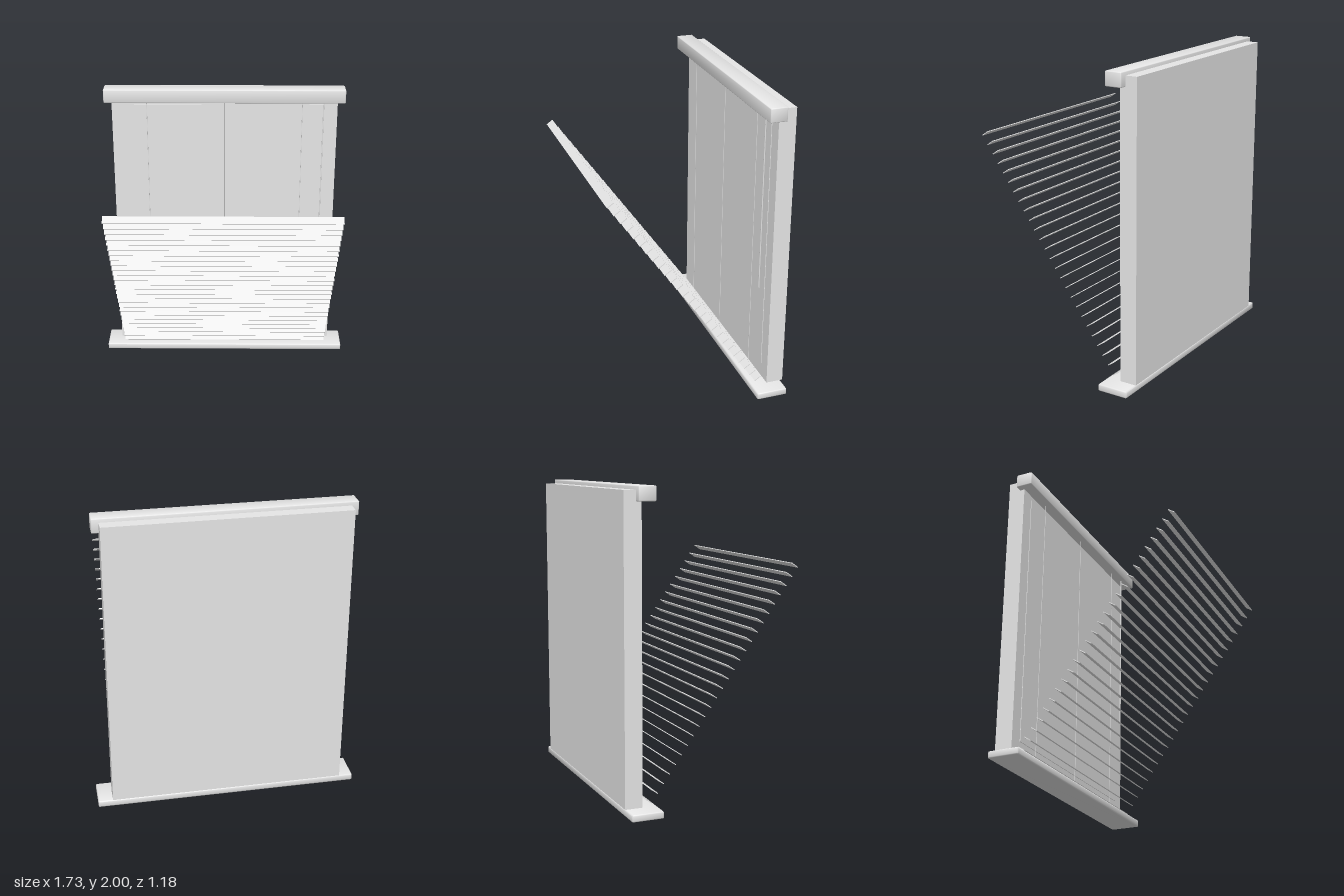
import * as THREE from 'three';
import { toCreasedNormals } from 'three/addons/utils/BufferGeometryUtils.js';
import { RoundedBoxGeometry } from 'three/addons/geometries/RoundedBoxGeometry.js';

const paint = new THREE.MeshStandardMaterial({ color: 0xe6e6e6 });
paint.name = 'off white';

// Box with a small two-step bevel, shaded smoothly across its edges
const softBox = (w, h, d, r) =>
  toCreasedNormals(new RoundedBoxGeometry(w, h, d, 1, r), Math.PI / 3);

export function createModel() {
  const group = new THREE.Group();
  const add = (name, geo, x, y, z, parent = group) => {
    const mesh = new THREE.Mesh(geo, paint);
    mesh.name = name;
    mesh.position.set(x, y, z);
    parent.add(mesh);
    return mesh;
  };

  // Window block with its pane standing slightly proud
  add('windowFrame', new THREE.BoxGeometry(1.536, 1.921, 0.114), 0, 1.0145, -0.533);
  add('windowPane', new THREE.BoxGeometry(1.35, 1.724, 0.01), 0, 1.0145, -0.477);

  // Rail above and sill below
  add('headRail', softBox(1.628, 0.092, 0.112, 0.006), 0, 1.954, -0.456);
  add('sill', softBox(1.726, 0.046, 0.207, 0.008), 0, 0.023, -0.4765);

  // Lift cords
  for (const x of [-0.527, 0, 0.527])
    add('cord', new THREE.CylinderGeometry(0.002, 0.002, 1.82, 8), x, 1.01, -0.445);

  // Tilt wand on the model's left
  add('wand', new THREE.CylinderGeometry(0.004, 0.004, 1.19, 10), 0.67, 1.323, -0.436);

  // Tilted slats, each stepping forward as it rises
  const slats = new THREE.Group();
  slats.name = 'slats';
  group.add(slats);
  const slatGeo = new THREE.BoxGeometry(1.478, 0.005, 0.051);
  const count = 26;
  for (let i = 0; i < count; i++) {
    const t = i / (count - 1);
    const slat = add('slat', slatGeo, 0,
      THREE.MathUtils.lerp(0.079, 1.491, t), THREE.MathUtils.lerp(-0.424, 0.568, t), slats);
    slat.rotation.x = 0.6;
  }
  return group;
}
